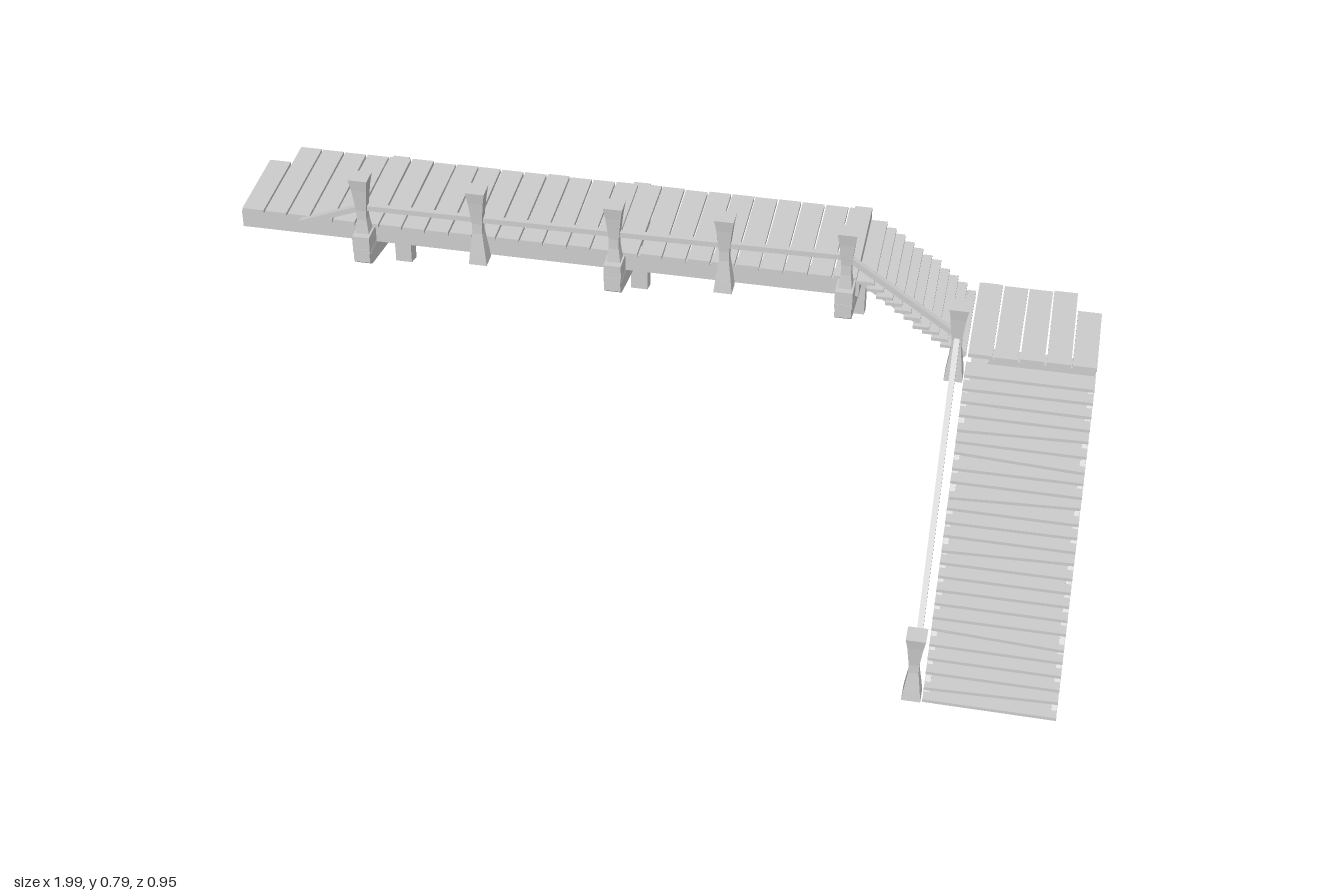
import * as THREE from 'three';

const mat = new THREE.MeshStandardMaterial({ color: 0xcccccc, flatShading: true });

export function createModel() {
  const model = new THREE.Group();
  model.name = 'boardwalk';

  let seed = 7;
  const rand = () => {
    seed = (seed * 16807) % 2147483647;
    return seed / 2147483647 - 0.5;
  };

  const add = (name, geometry, parent = model) => {
    const mesh = new THREE.Mesh(geometry, mat);
    mesh.name = name;
    parent.add(mesh);
    return mesh;
  };

  // Box given by its limits on each axis
  const box = (name, x0, x1, y0, y1, z0, z1, parent) => {
    const mesh = add(name, new THREE.BoxGeometry(x1 - x0, y1 - y0, z1 - z0), parent);
    mesh.position.set((x0 + x1) / 2, (y0 + y1) / 2, (z0 + z1) / 2);
    return mesh;
  };

  const group = (name) => {
    const g = new THREE.Group();
    g.name = name;
    model.add(g);
    return g;
  };

  // Straight square bar between two points
  const bar = (name, a, b, size, parent) => {
    const from = new THREE.Vector3(...a), to = new THREE.Vector3(...b);
    const mesh = add(name, new THREE.BoxGeometry(size, size, from.distanceTo(to)), parent);
    mesh.position.copy(from).add(to).multiplyScalar(0.5);
    mesh.lookAt(to);
    return mesh;
  };

  // Planked floors: upper walkway and lower landing
  const planks = (name, x0, x1, top, count, shortIndex) => {
    const g = group(name);
    const pitch = (x1 - x0) / count;
    for (let i = 0; i < count; i++) {
      const x = x0 + i * pitch;
      const back = i === shortIndex ? -0.39 : -0.458 + rand() * 0.006;
      const p = box('plank', x + 0.002, x + pitch - 0.002, top - 0.01, top, back, -0.175 + rand() * 0.006, g);
      p.rotation.y = rand() * 0.014;
    }
  };
  planks('walkwayPlanks', -0.998, 0.445, 0.65, 26, 0);
  planks('landingPlanks', 0.705, 0.998, 0.478, 5, 4);

  // Long beams under the front edges
  box('walkwayBeam', -0.998, 0.45, 0.598, 0.641, -0.22, -0.18);
  box('landingBeam', 0.715, 0.995, 0.422, 0.467, -0.22, -0.18);

  // Support frame: rear post, cross beam and bent brace
  const frame = (x, beamTop, foot, brace) => {
    const g = group('supportFrame');
    const w = 0.04;
    box('crossBeam', x - w / 2, x + w / 2, beamTop - 0.045, beamTop, -0.476, -0.125, g);
    const post = new THREE.Shape([
      new THREE.Vector2(-0.474, foot), new THREE.Vector2(-0.434, foot + 0.012),
      new THREE.Vector2(-0.434, beamTop), new THREE.Vector2(-0.474, beamTop)]);
    const outline = new THREE.Shape(brace.map(([z, y]) => new THREE.Vector2(z, y)));
    for (const [name, shape, t] of [['rearPost', post, w], ['brace', outline, w * 0.94]]) {
      const geo = new THREE.ExtrudeGeometry(shape, { depth: t, bevelEnabled: false });
      geo.translate(0, 0, -t / 2).rotateY(-Math.PI / 2);
      add(name, geo, g).position.x = x;
    }
  };
  const walkwayBrace = [[-0.124, 0.61], [-0.124, 0.575], [-0.14, 0.562], [-0.44, 0.498],
    [-0.44, 0.54], [-0.19, 0.592], [-0.19, 0.61]];
  const landingBrace = [[-0.142, 0.43], [-0.14, 0.34], [-0.155, 0.328], [-0.44, 0.267],
    [-0.44, 0.304], [-0.195, 0.357], [-0.195, 0.43]];
  for (const x of [-0.695, -0.105, 0.422]) frame(x, 0.643, 0.353, walkwayBrace);
  frame(0.735, 0.467, 0.12, landingBrace);

  // Four-sided hourglass rail posts
  const railPost = (x, y0, y1, z) => {
    const h = y1 - y0, r = Math.SQRT1_2;
    const profile = [[0, 0], [0.042, 0], [0.036, 0.15], [0.023, 0.42], [0.023, 0.55],
      [0.035, 0.85], [0.044, 1], [0, 1]].map(([w, t]) => new THREE.Vector2(w * r, t * h));
    const geo = new THREE.LatheGeometry(profile, 4).rotateY(Math.PI / 4);
    add('railPost', geo).position.set(x, y0, z);
  };
  for (const x of [-0.695, -0.422, -0.105, 0.147, 0.422]) railPost(x, 0.596, 0.79, -0.156);
  railPost(0.68, 0.432, 0.63, -0.146);
  railPost(0.68, 0, 0.18, 0.447);

  // Handrail
  const rail = [[-0.85, 0.64, -0.164], [-0.695, 0.705, -0.16], [-0.105, 0.71, -0.16],
    [0.422, 0.717, -0.16], [0.68, 0.548, -0.146], [0.683, 0.1, 0.445]];
  for (let i = 1; i < rail.length; i++) bar('handrail', rail[i - 1], rail[i], 0.013);

  // Short flight from walkway to landing
  const upper = group('upperStairs');
  for (let i = 0; i < 11; i++) {
    const t = i / 10;
    const x = 0.465 + 0.218 * t, y = 0.64 - 0.163 * t;
    const s = box('tread', x - 0.019, x + 0.019, y - 0.004, y + 0.004, -0.425, -0.173, upper);
    s.rotation.x = i % 4 === 2 ? rand() * 0.14 : rand() * 0.015;
  }
  for (const z of [-0.41, -0.19])
    bar('stringer', [0.45, 0.635, z], [0.7, 0.462, z], 0.009, upper);

  // Long flight from landing to the ground
  const lower = group('lowerStairs');
  const crooked = { 1: 0.035, 5: -0.05, 11: 0.035, 15: 0.05, 18: -0.05, 20: 0.035 };
  for (let i = 0; i < 25; i++) {
    const t = i / 24;
    const z = 0.45 - 0.572 * t, y = 0.013 + 0.46 * t;
    const s = box('tread', 0.705, 0.995, y - 0.004, y + 0.004, z - 0.025, z + 0.025, lower);
    s.rotation.z = crooked[i] ?? rand() * 0.012;
  }
  for (const x of [0.712, 0.988])
    bar('stringer', [x, 0.01, 0.45], [x, 0.466, -0.125], 0.012, lower);

  return model;
}
